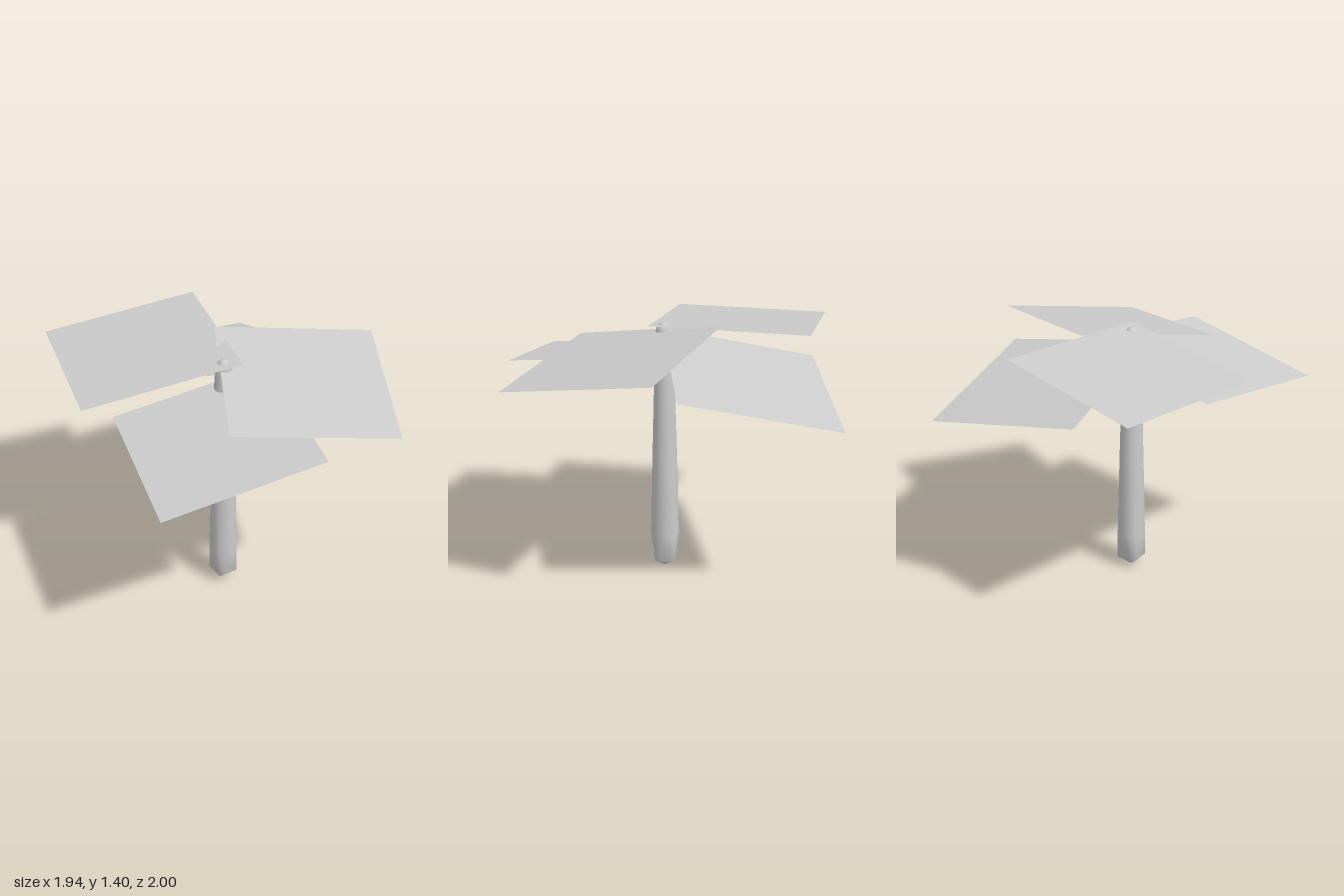
import * as THREE from 'three';
import { mergeVertices } from 'three/addons/utils/BufferGeometryUtils.js';

const trunkMaterial = new THREE.MeshStandardMaterial({ color: 0xcccccc });
const leafMaterial = new THREE.MeshStandardMaterial({ color: 0xcccccc, side: THREE.DoubleSide });

// Tapered round trunk whose foot narrows to a diamond-shaped point
function createTrunk() {
  const profile = [
    [0, 0], [0.078, 0.05], [0.076, 0.2], [0.065, 0.65], [0.052, 1.12],
    [0.046, 1.33], [0.036, 1.36], [0.018, 1.377], [0, 1.383],
  ].map(([r, y]) => new THREE.Vector2(r, y));
  let geometry = new THREE.LatheGeometry(profile, 16);
  const p = geometry.attributes.position;
  for (let i = 0; i < p.count; i++) {
    const x = p.getX(i), z = p.getZ(i), r = Math.hypot(x, z);
    if (r > 0 && Math.abs(p.getY(i) - 0.05) < 0.001) {
      const k = r / (Math.abs(x) + Math.abs(z));
      p.setX(i, x * k);
      p.setZ(i, z * k);
    }
  }
  geometry.deleteAttribute('normal');
  geometry.deleteAttribute('uv');
  geometry = mergeVertices(geometry, 1e-4);
  geometry.computeVertexNormals();
  const trunk = new THREE.Mesh(geometry, trunkMaterial);
  trunk.name = 'trunk';
  trunk.position.set(0.055, 0, 0.05);
  return trunk;
}

// Flat leaf panel spanned by an outer corner and its two neighbours
function createLeaf(name, corner, sideA, sideB) {
  const c = new THREE.Vector3(...corner);
  const u = new THREE.Vector3(...sideA).sub(c);
  const v = new THREE.Vector3(...sideB).sub(c);
  const n = new THREE.Vector3().crossVectors(u, v).normalize();
  const centre = c.clone().addScaledVector(u, 0.5).addScaledVector(v, 0.5);
  const geometry = new THREE.PlaneGeometry(1, 1);
  geometry.applyMatrix4(new THREE.Matrix4().makeBasis(u, v, n).setPosition(centre));
  geometry.computeVertexNormals();
  const leaf = new THREE.Mesh(geometry, leafMaterial);
  leaf.name = name;
  return leaf;
}

export function createModel() {
  const model = new THREE.Group();
  model.name = 'palmTree';
  model.add(createTrunk());
  // Four drooping leaves; corners ordered so the upper side faces up
  model.add(
    createLeaf('rightLeaf', [-0.97, 1.273, -0.21], [-0.545, 1.273, 0.495], [-0.27, 1.376, -0.635]),
    createLeaf('leftLeaf', [0.97, 1.188, 0.265], [0.72, 1.33, -0.505], [0.19, 1.255, 0.53]),
    createLeaf('backLeaf', [-0.08, 1.015, -1.0], [-0.625, 1.14, -0.39], [0.535, 1.197, -0.485]),
    createLeaf('frontLeaf', [-0.025, 1.065, 0.995], [0.66, 1.208, 0.56], [-0.45, 1.132, 0.305]),
  );
  return model;
}
